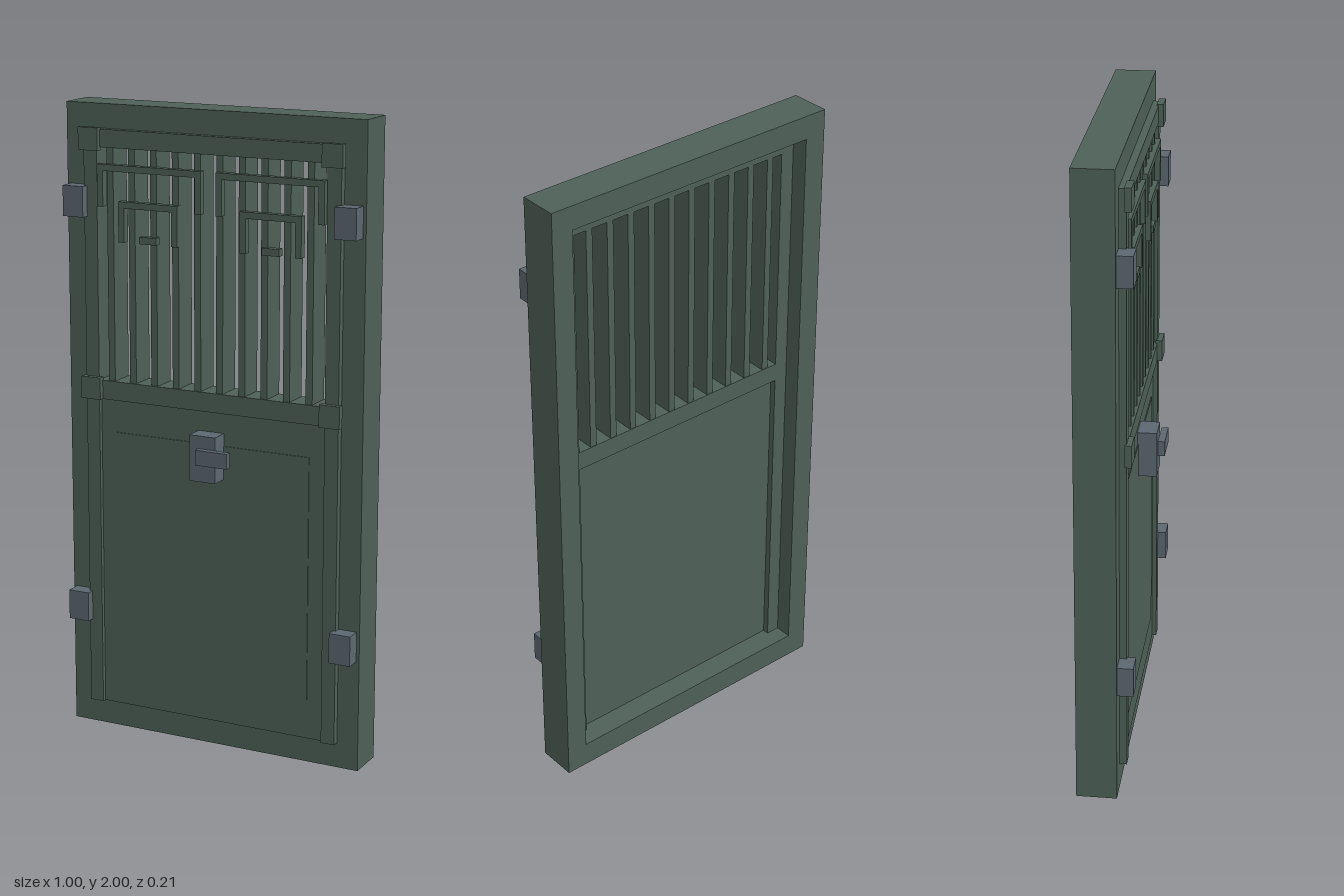
import * as THREE from 'three';

export function createModel() {
  const model = new THREE.Group();
  model.name = 'slattedDoor';
  const green = new THREE.MeshStandardMaterial({ color: 0x4e6158 });
  green.name = 'dark green paint';
  const steel = new THREE.MeshStandardMaterial({ color: 0x5b6770 });
  steel.name = 'blue grey steel';

  // Box given by its extents along each axis
  function block(name, [x0, x1], [y0, y1], [z0, z1], material = green) {
    const mesh = new THREE.Mesh(new THREE.BoxGeometry(x1 - x0, y1 - y0, z1 - z0), material);
    mesh.position.set((x0 + x1) / 2, (y0 + y1) / 2, (z0 + z1) / 2);
    mesh.name = name;
    model.add(mesh);
  }
  // The same box on both sides of the door
  function pair(name, [x0, x1], y, z, material) {
    block(name + 'Left', [x0, x1], y, z, material);
    block(name + 'Right', [-x1, -x0], y, z, material);
  }

  // Outer frame with one rectangular opening
  const outline = new THREE.Shape([[-0.5, 0], [0.5, 0], [0.5, 2], [-0.5, 2]].map(p => new THREE.Vector2(...p)));
  outline.holes.push(new THREE.Path(
    [[-0.43, 0.08], [-0.43, 1.925], [0.43, 1.925], [0.43, 0.08]].map(p => new THREE.Vector2(...p))));
  const frame = new THREE.Mesh(
    new THREE.ExtrudeGeometry(outline, { depth: 0.125, bevelEnabled: false }), green);
  frame.position.z = -0.107;
  frame.name = 'outerFrame';
  model.add(frame);

  // Door leaf: stiles, rails and lower panel
  const leaf = [-0.052, 0.04];
  pair('stile', [0.385, 0.43], [0.08, 1.925], leaf);
  block('topRail', [-0.385, 0.385], [1.87, 1.925], leaf);
  block('middleRail', [-0.385, 0.385], [1.085, 1.145], leaf);
  block('lowerPanel', [-0.385, 0.385], [0.08, 1.085], [-0.032, 0.026]);
  block('panelPlate', [-0.33, 0.33], [0.18, 0.98], [0.026, 0.029]);

  // Deep upright slats in the upper opening
  for (let i = 0; i < 10; i++) {
    const x = -0.342 + i * 0.0747;
    block('slat', [x - 0.011, x + 0.011], [1.145, 1.87], [-0.05, 0.034]);
  }

  // Nested fretwork brackets over the slats
  const fret = [0.024, 0.048];
  pair('outerFretBar', [0.025, 0.38], [1.8, 1.82], fret);
  pair('outerFretInnerLeg', [0.025, 0.045], [1.69, 1.8], fret);
  pair('outerFretOuterLeg', [0.36, 0.38], [1.69, 1.8], fret);
  pair('innerFretBar', [0.105, 0.307], [1.69, 1.71], fret);
  pair('innerFretInnerLeg', [0.105, 0.125], [1.585, 1.69], fret);
  pair('innerFretOuterLeg', [0.287, 0.307], [1.585, 1.69], fret);
  pair('fretStub', [0.177, 0.235], [1.585, 1.607], fret);

  // Corner plates and hinges
  for (const y of [1.085, 1.86]) pair('cornerPlate', [0.373, 0.44], [y, y + 0.07], [0.035, 0.056]);
  for (const y of [0.355, 1.655]) pair('hinge', [0.42, 0.49], [y, y + 0.095], [0.01, 0.067], steel);

  // Lock and handle
  block('lockPlate', [-0.045, 0.043], [0.875, 1.02], [0.02, 0.086], steel);
  block('handle', [-0.015, 0.093], [0.932, 0.98], [0.086, 0.107], steel);

  return model;
}
